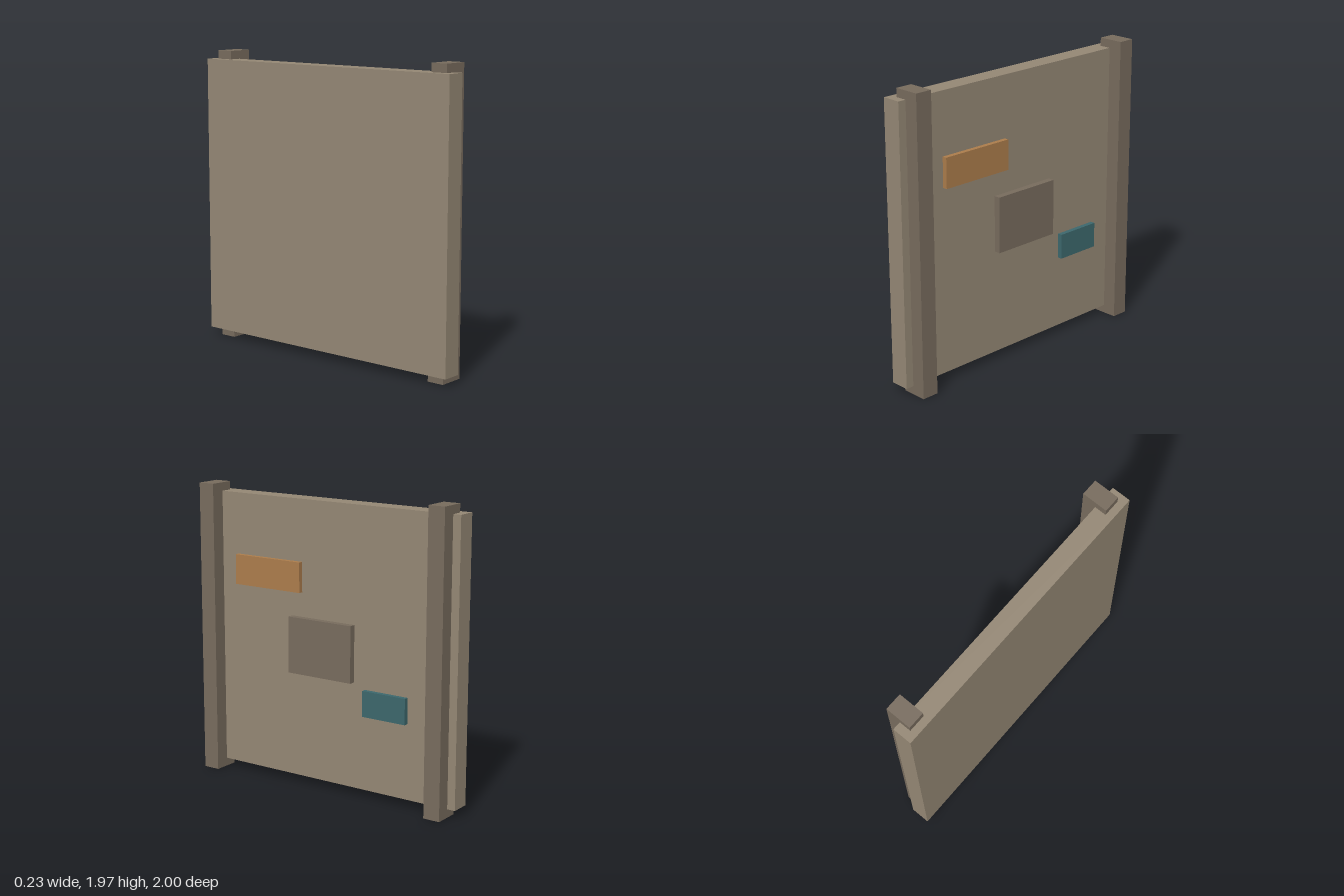
import * as THREE from 'three';

const paint = (color) => new THREE.MeshStandardMaterial({ color });

export function createModel() {
  const model = new THREE.Group();
  const stone = paint(0x948774);
  const darkStone = paint(0x776b5d);

  // Box given by its [min, max] extents on each axis
  function slab(name, material, x, y, z) {
    const geometry = new THREE.BoxGeometry(x[1] - x[0], y[1] - y[0], z[1] - z[0]);
    const mesh = new THREE.Mesh(geometry, material);
    mesh.name = name;
    mesh.position.set((x[0] + x[1]) / 2, (y[0] + y[1]) / 2, (z[0] + z[1]) / 2);
    model.add(mesh);
  }

  // Wall panel, raised slightly above the ground
  slab('wallPanel', stone, [-0.113, 0.017], [0.056, 1.914], [-1, 1]);

  // Upright posts near both ends, running through the panel
  slab('frontPost', darkStone, [-0.063, 0.113], [0, 1.97], [0.83, 0.945]);
  slab('backPost', darkStone, [-0.063, 0.113], [0, 1.97], [-0.945, -0.83]);

  // Thin plates standing just off the panel face
  slab('centrePlate', darkStone, [0.031, 0.075], [0.77, 1.146], [-0.245, 0.245]);
  slab('orangePlate', paint(0xab7c4b), [0.037, 0.069], [1.31, 1.51], [0.16, 0.682]);
  slab('tealPlate', paint(0x3c676c), [0.037, 0.069], [0.565, 0.736], [-0.655, -0.334]);

  return model;
}
